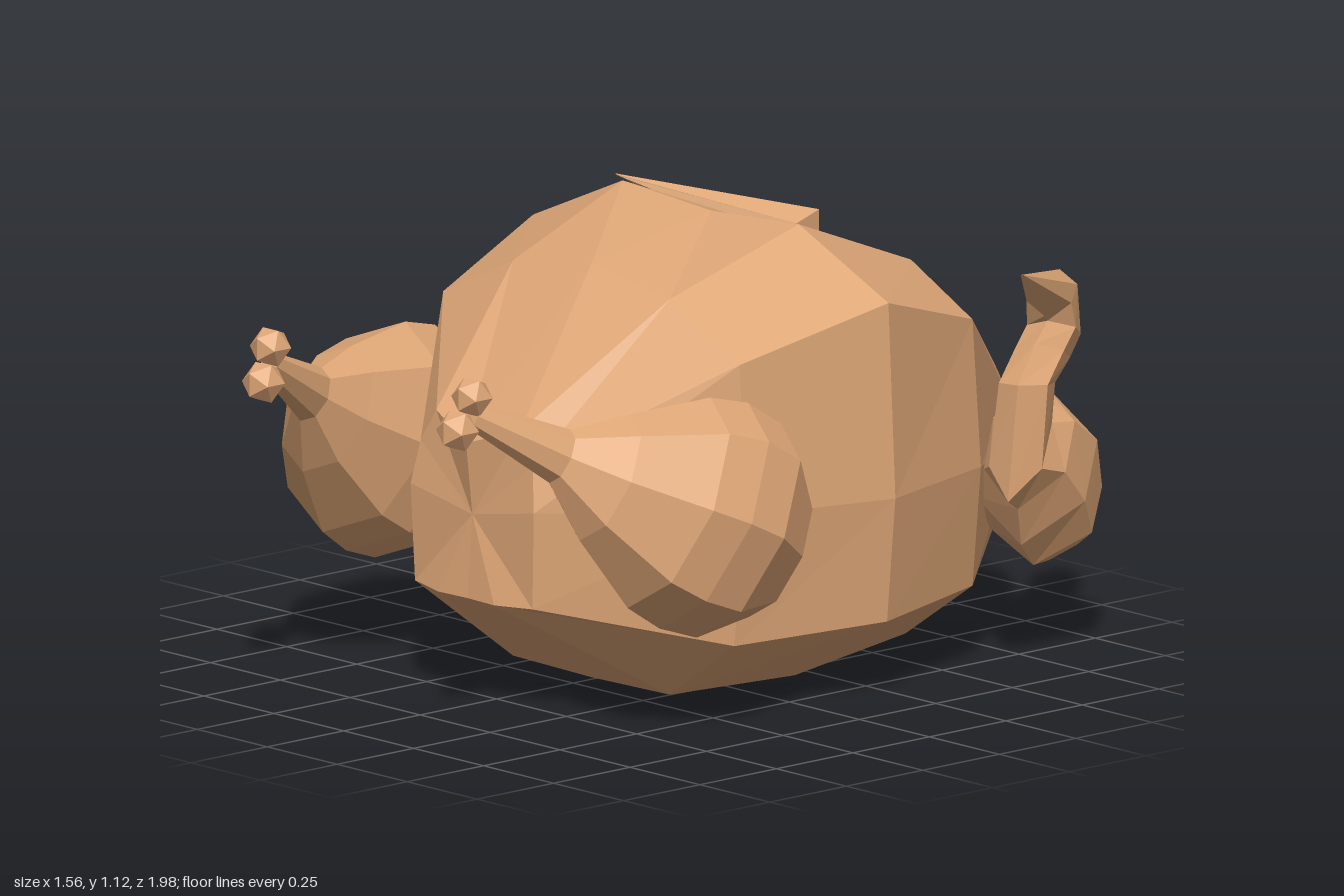
import * as THREE from 'three';

// Closed skin through rings of equal point count; winding is set so faces point outward
function loft(rings) {
  const n = rings[0].length, pos = [], idx = [];
  rings.forEach(r => r.forEach(p => pos.push(p.x, p.y, p.z)));
  for (let i = 0; i < rings.length - 1; i++) {
    for (let j = 0; j < n; j++) {
      const a = i * n + j, b = i * n + (j + 1) % n;
      idx.push(a, b, a + n, b, b + n, a + n);
    }
  }
  // end caps as fans around the ring centres
  [0, rings.length - 1].forEach((r, end) => {
    const c = rings[r].reduce((s, p) => s.add(p), new THREE.Vector3()).divideScalar(n);
    const k = pos.length / 3;
    pos.push(c.x, c.y, c.z);
    for (let j = 0; j < n; j++) {
      const a = r * n + j, b = r * n + (j + 1) % n;
      if (end) idx.push(a, b, k); else idx.push(b, a, k);
    }
  });
  const v = i => new THREE.Vector3().fromArray(pos, i * 3);
  let volume = 0;
  for (let i = 0; i < idx.length; i += 3) volume += v(idx[i]).dot(v(idx[i + 1]).cross(v(idx[i + 2])));
  if (volume < 0) idx.reverse();
  const g = new THREE.BufferGeometry();
  g.setAttribute('position', new THREE.Float32BufferAttribute(pos, 3));
  g.setIndex(idx);
  const flat = g.toNonIndexed();
  flat.computeVertexNormals();
  return flat;
}

// Body: half outlines (x, y, z) from top centre to bottom centre, mirrored in x
function bodyGeometry() {
  const halves = [
    [[0, .65, .6], [.15, .7, .56], [.2, .62, .565], [.22, .51, .58], [.21, .27, .575], [.1, .265, .6], [0, .265, .595]],
    [[0, 1.03, .19], [.28, .99, .19], [.53, .87, .19], [.55, .5, .19], [.51, .17, .19], [.28, .01, .19], [0, .005, .19]],
    [[0, 1.1, -.2], [.315, 1.12, -.2], [.635, .98, -.2], [.66, .5, -.2], [.63, .19, -.2], [.3, 0, -.2], [0, 0, -.2]],
    [[0, .96, -.58], [.3, .97, -.58], [.52, .86, -.58], [.55, .5, -.58], [.52, .2, -.58], [.28, .04, -.58], [0, .04, -.58]],
    [[0, .61, -.985], [.18, .61, -.975], [.23, .56, -.96], [.23, .45, -.985], [.19, .25, -.96], [.1, .235, -.965], [0, .235, -.965]]
  ];
  return loft(halves.map(h => {
    const right = h.map(p => new THREE.Vector3(...p));
    const left = right.slice(1, -1).reverse().map(p => new THREE.Vector3(-p.x, p.y, p.z));
    return [...right, ...left];
  }));
}

// Drumstick: round rings [x, y, z, radius] square to the leg axis
function drumstickGeometry(side) {
  const axis = new THREE.Vector3(-.2, .48, .85).normalize();
  const u = new THREE.Vector3(1, 0, 0).addScaledVector(axis, -axis.x).normalize();
  const w = new THREE.Vector3().crossVectors(axis, u);
  const rings = [
    [.595, .41, .135, .17], [.575, .475, .235, .28], [.56, .525, .335, .295], [.545, .57, .435, .275],
    [.495, .65, .6, .165], [.445, .71, .7, .07], [.365, .83, .91, .033]
  ];
  return loft(rings.map(([x, y, z, r]) => Array.from({ length: 8 }, (_, i) => {
    const a = i / 8 * Math.PI * 2;
    const p = new THREE.Vector3(x, y, z)
      .addScaledVector(u, Math.cos(a) * r * .74).addScaledVector(w, Math.sin(a) * r);
    p.x *= side;
    return p;
  })));
}

// Folded wing: each ring has a centre x, two edge points (z, y) and a half thickness
function wingGeometry(side) {
  const rings = [
    [.46, -.97, .32, -.84, .22, .06], [.485, -.985, .45, -.72, .24, .125], [.51, -.955, .6, -.64, .31, .135],
    [.57, -.84, .66, -.6, .41, .1], [.615, -.78, .66, -.52, .45, .065], [.6, -.78, .68, -.59, .72, .06],
    [.535, -.87, .7, -.72, .79, .06], [.51, -.92, .75, -.79, .83, .06], [.52, -.92, .92, -.76, .85, .055],
    [.755, -.525, 1.02, -.53, 1.015, .004]
  ];
  const shift = side > 0 ? 0 : -.06;
  return loft(rings.map(([cx, z0, y0, z1, y1, t]) =>
    [[0, 0], [.3, 1], [.7, 1], [1, 0], [.7, -1], [.3, -1]].map(([k, n]) => {
      const z = THREE.MathUtils.lerp(z0, z1, k), y = THREE.MathUtils.lerp(y0, y1, k);
      const x = cx + .75 * (z - (z0 + z1) / 2) + shift + n * t * .8;
      return new THREE.Vector3(x * side, y, z - n * t * .6);
    })));
}

export function createModel() {
  const group = new THREE.Group();
  const skin = new THREE.MeshStandardMaterial({ color: 0xdea676, flatShading: true });
  skin.name = 'roastedSkin';
  const add = (name, geometry) => {
    const mesh = new THREE.Mesh(geometry, skin);
    mesh.name = name;
    group.add(mesh);
    return mesh;
  };

  add('body', bodyGeometry());
  for (const side of [1, -1]) {
    const label = side > 0 ? 'left' : 'right';
    add(label + 'Drumstick', drumstickGeometry(side));
    add(label + 'Wing', wingGeometry(side));
    // knuckles at the end of the leg bone
    add(label + 'UpperKnuckle', new THREE.IcosahedronGeometry(.052, 0)).position.set(side * .36, .875, .91);
    add(label + 'LowerKnuckle', new THREE.IcosahedronGeometry(.054, 0)).position.set(side * .347, .795, .945);
  }
  return group;
}
